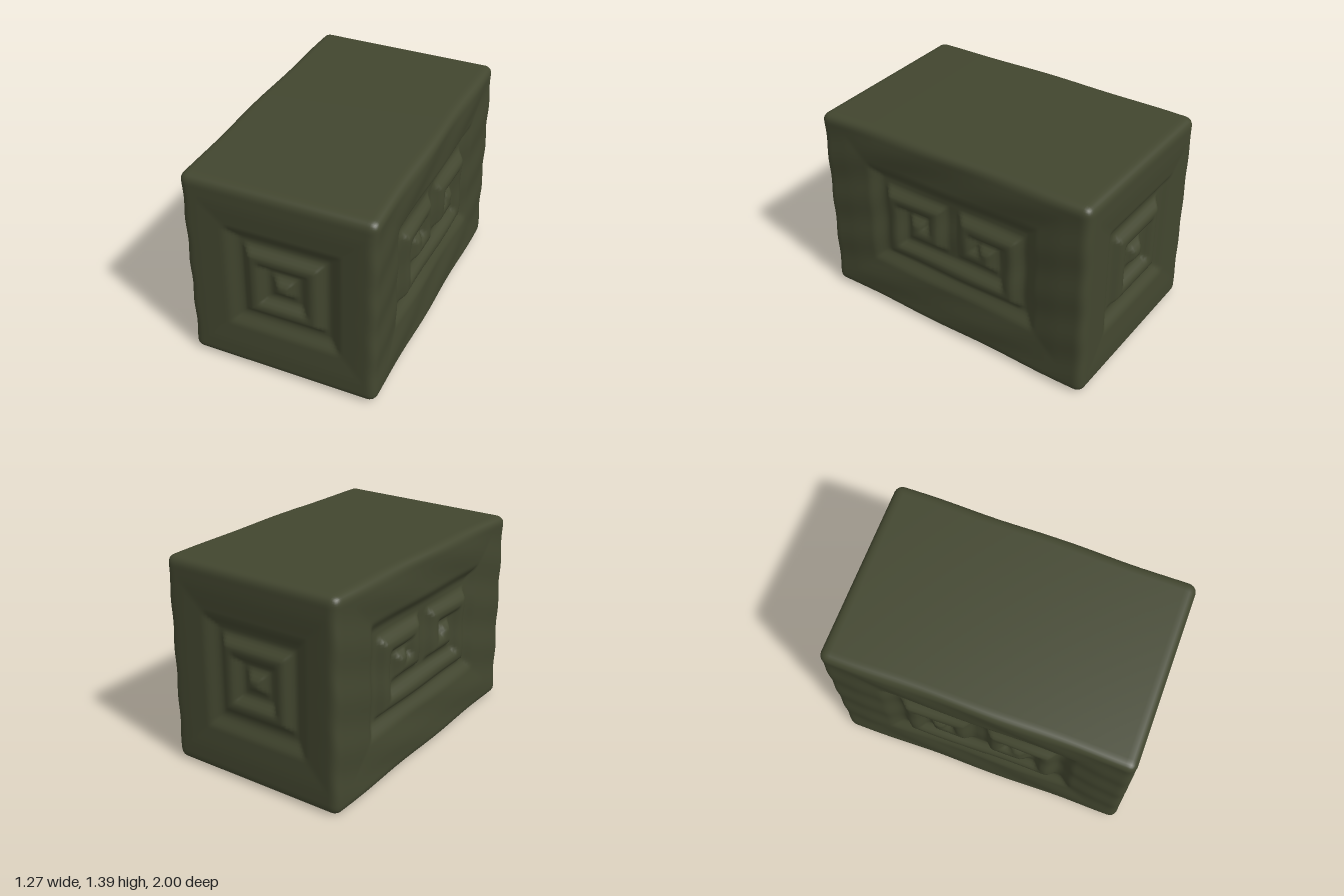
import * as THREE from 'three';
import { mergeVertices } from 'three/addons/utils/BufferGeometryUtils.js';

const W = 1.26, H = 1.39, L = 2, R = 0.055, DEPTH = 0.06;
const CY = 0.7;

// Carved reliefs: sunken rectangle [u0, u1, v0, v1] and the raised square-cornered bands inside it
const endPanel = {
  rect: [-0.27, 0.31, 0.4, 0.99],
  bands: [
    [[-0.175, 0.505], [0.215, 0.505], [0.215, 0.885], [-0.175, 0.885], [-0.175, 0.505]],
    [[0.015, 0.7], [0.025, 0.7]],
  ],
};
const curl = [[0.27, 0.74], [0.27, 0.7], [0.12, 0.7], [0.12, 0.9], [0.45, 0.9], [0.45, 0.51], [0, 0.51]];
const sidePanel = {
  rect: [-0.55, 0.55, 0.43, 1.02],
  bands: [curl, curl.map(([u, v]) => [-u, v])],
};

const smooth = THREE.MathUtils.smoothstep;

// Square-cornered distance from a point to an axis-aligned rectangle
function boxDistance(u, v, u0, u1, v0, v1) {
  return Math.max(u0 - u, u - u1, v0 - v, v - v1, 0);
}

// Depth of the carving below the face
function carving(u, v, { rect, bands }) {
  let height = smooth(boxDistance(u, v, ...rect), 0, 0.1) * 0.75
    + smooth(boxDistance(u, v, ...rect), 0.03, 0.28) * 0.25;
  for (const band of bands) {
    for (let i = 1; i < band.length; i++) {
      const [a, b] = band[i - 1], [c, d] = band[i];
      const dist = boxDistance(u, v, Math.min(a, c), Math.max(a, c), Math.min(b, d), Math.max(b, d));
      height = Math.max(height, 0.85 * (1 - smooth(dist, 0.015, 0.085)));
    }
  }
  return DEPTH * (1 - height);
}

// Block with rounded edges, carved ends and sides, and a slightly worn outline
function blockGeometry() {
  let geo = new THREE.BoxGeometry(W, H, L, 70, 78, 110);
  geo.deleteAttribute('uv');
  geo.deleteAttribute('normal');
  geo = mergeVertices(geo, 1e-5);
  const pos = geo.attributes.position;
  const p = new THREE.Vector3(), core = new THREE.Vector3();
  const limit = new THREE.Vector3(W / 2 - R, H / 2 - R, L / 2 - R);
  for (let i = 0; i < pos.count; i++) {
    p.fromBufferAttribute(pos, i);
    const onSide = Math.abs(p.x) > W / 2 - 1e-4;
    const onEnd = Math.abs(p.z) > L / 2 - 1e-4;
    core.copy(p).clamp(limit.clone().negate(), limit);
    p.sub(core).normalize().multiplyScalar(R).add(core);
    const y = p.y + H / 2;

    // Sunken patterns
    if (onEnd) {
      const s = Math.sign(p.z);
      p.z -= s * carving(p.x * s, y, endPanel);
    } else if (onSide) {
      const s = Math.sign(p.x);
      p.x -= s * carving(p.z, y, sidePanel);
    }

    // Worn edges and a top that dips towards the front
    p.x += Math.sign(p.x) * 0.004 * Math.sin(y * 19 + p.z * 7) * smooth(Math.abs(p.x), 0.4, 0.6);
    const t = (p.z + 1) / 2;
    p.y = y * (1 - 0.032 * t * t) + 0.006 * t * t * (1 - y / H);
    pos.setXYZ(i, p.x, p.y, p.z);
  }
  geo.computeVertexNormals();
  return geo;
}

export function createModel() {
  const stone = new THREE.MeshStandardMaterial({ color: 0x42462f });
  stone.name = 'mossy stone';

  const block = new THREE.Mesh(blockGeometry(), stone);
  block.name = 'carvedStoneBlock';

  const model = new THREE.Group();
  model.name = 'carvedStone';
  model.add(block);
  return model;
}
